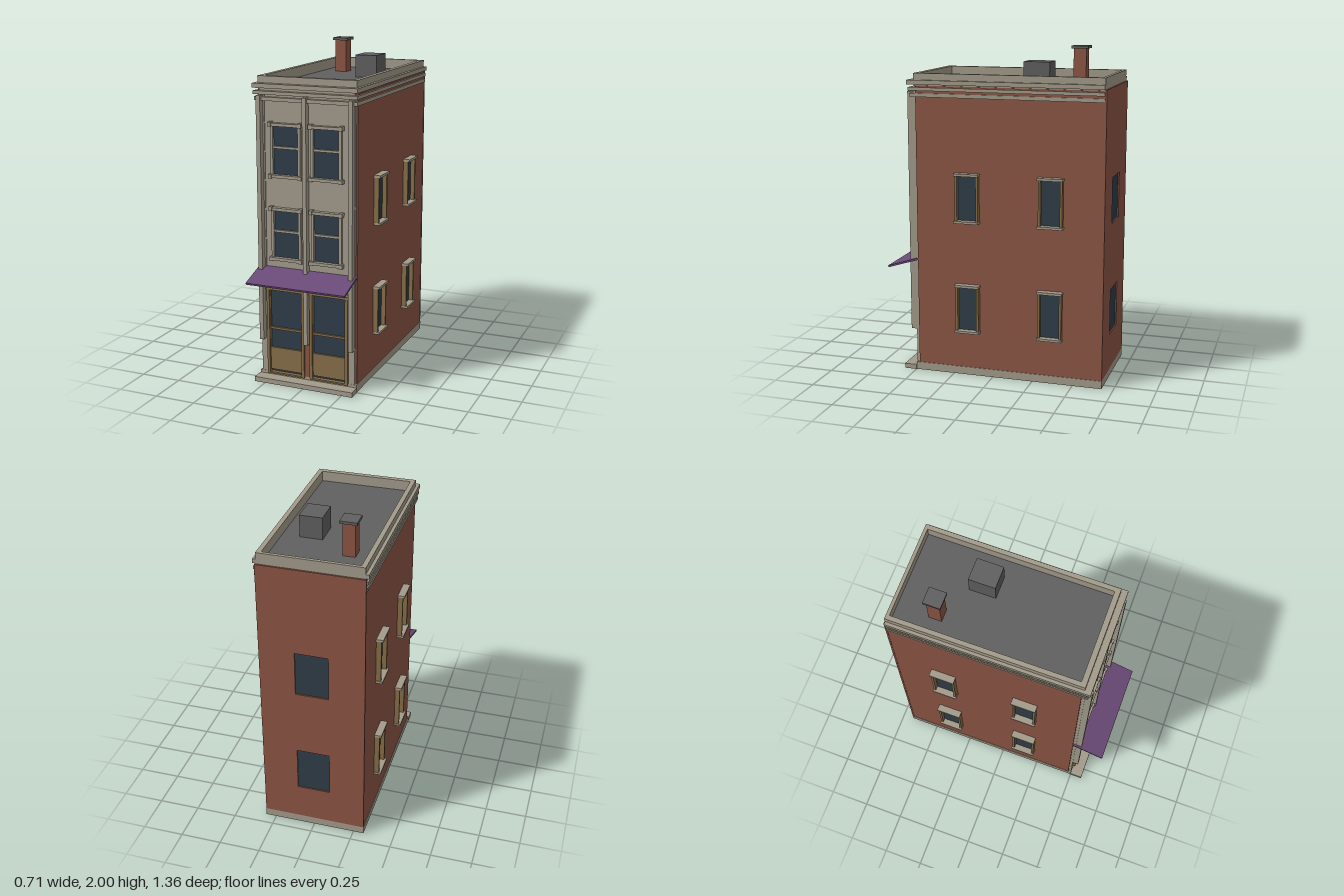
import * as THREE from 'three';

const mat = (name, color) => {
  const m = new THREE.MeshStandardMaterial({ color });
  m.name = name;
  return m;
};

export function createModel() {
  const brick = mat('brick', 0x8c5645);
  const stone = mat('stone', 0xa39b8b);
  const wood = mat('wood', 0x866d48);
  const glass = mat('glass', 0x2f3d49);
  const slate = mat('slate', 0x606060);
  const purple = mat('awningPurple', 0x6a4a78);

  const model = new THREE.Group();
  model.name = 'townhouse';

  // Box given by its limits on each axis
  const box = (name, m, [x0, x1], [y0, y1], [z0, z1], parent = model) => {
    const mesh = new THREE.Mesh(new THREE.BoxGeometry(x1 - x0, y1 - y0, z1 - z0), m);
    mesh.position.set((x0 + x1) / 2, (y0 + y1) / 2, (z0 + z1) / 2);
    mesh.name = name;
    parent.add(mesh);
    return mesh;
  };

  // Rectangular plate with rectangular holes, extruded along +z; rects are [x0, x1, y0, y1]
  const trace = (p, [x0, x1, y0, y1]) =>
    p.moveTo(x0, y0).lineTo(x1, y0).lineTo(x1, y1).lineTo(x0, y1).closePath();
  const plate = (name, m, outer, holes, z, depth, parent = model) => {
    const shape = trace(new THREE.Shape(), outer);
    shape.holes = holes.map((h) => trace(new THREE.Path(), h));
    const mesh = new THREE.Mesh(new THREE.ExtrudeGeometry(shape, { depth, bevelEnabled: false }), m);
    mesh.position.z = z;
    mesh.name = name;
    parent.add(mesh);
    return mesh;
  };
  const group = (name) => {
    const g = new THREE.Group();
    g.name = name;
    model.add(g);
    return g;
  };

  // Plinth and front step
  box('plinth', stone, [-0.315, 0.315], [0, 0.048], [-0.68, 0.5]);
  box('frontStep', stone, [-0.318, 0.318], [0, 0.03], [0.5, 0.577]);

  // Brick body, with a back wall skin pierced by two windows
  box('brickBody', brick, [-0.312, 0.312], [0.048, 1.775], [-0.669, 0.48]);
  const backHoles = [[-0.1, 0.1, 0.275, 0.555], [-0.1, 0.1, 0.965, 1.245]];
  plate('backWall', brick, [-0.314, 0.314, 0.048, 1.78], backHoles, -0.68, 0.011);
  for (const [x0, x1, y0, y1] of backHoles)
    box('backWindowGlass', glass, [x0, x1], [y0, y1], [-0.672, -0.668]);

  // Stone facade on the upper storeys
  box('facade', stone, [-0.298, 0.298], [0.64, 1.785], [0.48, 0.492]);
  for (const s of [-1, 1]) {
    const span = (a, b) => (s > 0 ? [a, b] : [-b, -a]);
    box('cornerStrip', stone, span(0.265, 0.303), [0.048, 1.74], [0.479, 0.498]);
    box('cornerPilaster', stone, span(0.274, 0.3), [0.26, 1.74], [0.498, 0.535]);
  }
  box('centrePilaster', stone, [-0.012, 0.012], [0.26, 1.74], [0.48, 0.53]);

  // Sash windows on the front
  for (const cx of [-0.128, 0.128]) {
    for (const y of [0.78, 1.28]) {
      const g = group('frontWindow');
      const h = 0.285, mid = y + 0.16;
      box('frontGlass', glass, [cx - 0.079, cx + 0.079], [y, y + h], [0.49, 0.495], g);
      plate('windowFrame', stone, [cx - 0.095, cx + 0.095, y - 0.012, y + h + 0.01],
        [[cx - 0.079, cx + 0.079, y, y + h]], 0.49, 0.022, g);
      box('meetingRail', stone, [cx - 0.079, cx + 0.079], [mid - 0.007, mid + 0.007], [0.493, 0.507], g);
      box('sill', stone, [cx - 0.095, cx + 0.095], [y - 0.018, y], [0.49, 0.522], g);
      box('lintel', stone, [cx - 0.095, cx + 0.095], [y + h, y + h + 0.018], [0.49, 0.522], g);
      for (const e of [-0.095, 0.095]) {
        box('sillBlock', stone, [cx + e - 0.01, cx + e + 0.01], [y - 0.022, y + 0.002], [0.49, 0.526], g);
        box('lintelBlock', stone, [cx + e - 0.01, cx + e + 0.01], [y + h - 0.002, y + h + 0.024], [0.49, 0.526], g);
      }
    }
  }

  // Shop doors with large glazed openings
  for (const cx of [-0.14, 0.14]) {
    const g = group('shopDoor');
    const panes = [[cx - 0.103, cx + 0.103, 0.335, 0.57], [cx - 0.103, cx + 0.103, 0.205, 0.322]];
    plate('doorFrame', wood, [cx - 0.122, cx + 0.122, 0.04, 0.58],
      [[cx - 0.105, cx + 0.105, 0.05, 0.572]], 0.48, 0.032, g);
    plate('doorLeaf', wood, [cx - 0.105, cx + 0.105, 0.063, 0.572], panes, 0.48, 0.018, g);
    box('doorGlass', glass, [cx - 0.105, cx + 0.105], [0.049, 0.571], [0.478, 0.486], g);
    box('doorHeader', wood, [cx - 0.127, cx + 0.127], [0.575, 0.592], [0.48, 0.518], g);
  }
  box('doorMullion', brick, [-0.018, 0.018], [0.048, 0.26], [0.48, 0.5]);

  // Sloping awning over the shop front
  const slab = new THREE.Shape();
  slab.moveTo(-0.48, 0.706).lineTo(-0.677, 0.645).lineTo(-0.68, 0.656).lineTo(-0.48, 0.719).closePath();
  const awning = new THREE.Mesh(
    new THREE.ExtrudeGeometry(slab, { depth: 0.626, bevelEnabled: false }), purple);
  awning.rotation.y = Math.PI / 2;
  awning.position.x = -0.313;
  awning.name = 'awning';
  model.add(awning);

  // Side windows, framed and standing proud of the wall
  for (const s of [-1, 1]) {
    const span = (a, b) => (s > 0 ? [a, b] : [-b, -a]);
    for (const cz of [0.155, -0.361]) {
      for (const y of [0.28, 0.965]) {
        const g = group('sideWindow');
        const top = y + 0.295;
        box('sideGlass', glass, span(0.31, 0.316), [y, top], [cz - 0.068, cz + 0.068], g);
        for (const e of [-0.066, 0.066])
          box('jamb', wood, span(0.31, 0.343), [y, top], [cz + e - 0.007, cz + e + 0.007], g);
        box('sideSill', stone, span(0.31, 0.355), [y - 0.004, y + 0.01], [cz - 0.077, cz + 0.077], g);
        box('sideLintel', stone, span(0.31, 0.355), [top - 0.012, top + 0.003], [cz - 0.077, cz + 0.077], g);
      }
    }
  }

  // Three stepped cornice bands
  for (const [y0, y1, x, z] of [[1.708, 1.73, 0.32, 0.515], [1.745, 1.765, 0.323, 0.523], [1.782, 1.808, 0.327, 0.53]])
    plate('corniceBand', stone, [-x, x, -z, 0.67], [[-0.29, 0.29, -0.47, 0.655]], y0, y1 - y0)
      .rotation.x = -Math.PI / 2;
  // Bands and parapet are drawn flat, then laid down so depth becomes height
  const layFlat = (mesh) => {
    mesh.position.set(0, mesh.position.z, 0);
    mesh.rotation.x = -Math.PI / 2;
  };
  model.children.filter((c) => c.name === 'corniceBand').forEach(layFlat);
  layFlat(plate('parapet', stone, [-0.308, 0.308, -0.492, 0.67], [[-0.28, 0.28, -0.46, 0.65]], 1.775, 0.073));

  // Roof deck, hatch and chimney
  box('roofDeck', slate, [-0.285, 0.285], [1.77, 1.785], [-0.655, 0.465]);
  box('roofHatch', slate, [0.04, 0.177], [1.78, 1.92], [-0.31, -0.15]);
  box('chimney', brick, [-0.193, -0.118], [1.78, 1.985], [-0.46, -0.382]);
  box('chimneyCap', slate, [-0.206, -0.105], [1.984, 2], [-0.474, -0.37]);

  return model;
}
